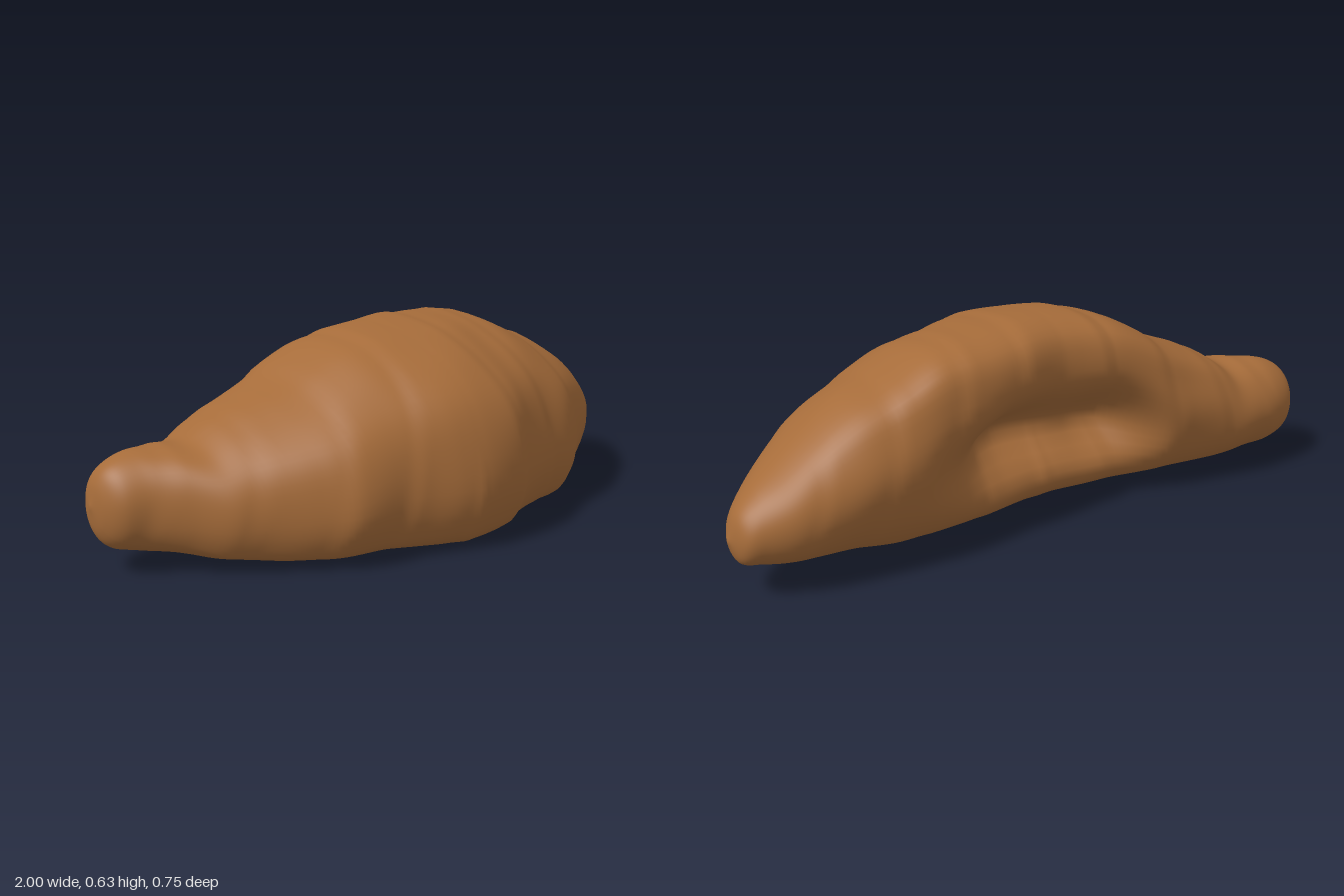
import * as THREE from 'three';

const { smoothstep, lerp } = THREE.MathUtils;

// Stations along the roll: x, bottom y, top y, back z, front z
const STATIONS = [
  [-1, .2, .2, -.22, -.22], [-.985, .12, .27, -.27, -.16], [-.95, .075, .315, -.31, -.11],
  [-.88, .055, .345, -.335, -.07], [-.8, .045, .355, -.345, 0], [-.72, .03, .36, -.355, .08],
  [-.64, .025, .41, -.355, .125], [-.52, .02, .455, -.35, .21], [-.42, .018, .495, -.352, .27],
  [-.28, .015, .575, -.34, .293], [-.2, .01, .6, -.335, .318], [-.1, .005, .615, -.33, .36],
  [0, 0, .622, -.335, .378], [.14, .003, .62, -.365, .357], [.25, .01, .608, -.38, .303],
  [.38, .012, .596, -.382, .258], [.5, .015, .543, -.382, .23], [.63, .04, .497, -.38, .15],
  [.74, .05, .43, -.365, .08], [.84, .065, .355, -.35, 0], [.92, .085, .298, -.315, -.085],
  [.975, .105, .245, -.28, -.15], [1, .17, .17, -.21, -.21],
];

// Normalised cross-section (0 back .. 1 front, 0 bottom .. 1 top)
const PROFILE = [
  [.88, .01], [.965, .13], [1, .3], [.97, .55], [.9, .71], [.77, .84], [.62, .93], [.48, .98],
  [.2, 1], [.07, .93], [.02, .76], [0, .58], [.03, .4], [.1, .2], [.23, .05], [.5, 0],
];

const RINGS = 170, SIDES = 56;

// Overlapping dough layers: a slow swell followed by a quick step down
function layerStep(x, angle) {
  const p = Math.abs(x + .04) / .21 + .25 * Math.sin(angle);
  const f = p - Math.floor(p);
  return f < .8 ? f / .8 : (1 - f) / .2;
}

function doughGeometry() {
  const heights = new THREE.CatmullRomCurve3(
    STATIONS.map(([x, y0, y1]) => new THREE.Vector3(x, y0, y1)), false, 'catmullrom', .5);
  const depths = new THREE.CatmullRomCurve3(
    STATIONS.map(([x, , , z0, z1]) => new THREE.Vector3(x, z0, z1)), false, 'catmullrom', .5);
  const section = new THREE.CatmullRomCurve3(
    PROFILE.map(([u, v]) => new THREE.Vector3(u, v, 0)), true).getPoints(SIDES);

  const positions = [], indices = [];
  for (let i = 0; i <= RINGS; i++) {
    const h = heights.getPoint(i / RINGS), d = depths.getPoint(i / RINGS), x = h.x;
    // The curled-in hollow fades out towards both arms
    const hollow = smoothstep(x, -.5, -.15) * (1 - smoothstep(x, .1, .5));

    for (let j = 0; j < SIDES; j++) {
      let du = section[j].x - .5, dv = section[j].y - .5;
      const angle = Math.atan2(dv, du);
      // Full in the middle, elliptical at the tips, rounding sooner at the back
      const round = du < 0 ? smoothstep(Math.abs(x), .35, .85) : smoothstep(Math.abs(x), .55, .97);
      du = lerp(du, .5 * Math.cos(angle), round);
      dv = lerp(dv, .5 * Math.sin(angle), round);
      const bumps = .006 * Math.sin(9 * x + 3 * angle) + .005 * Math.sin(17 * x - 5 * angle);
      const swell = .98 + .02 * layerStep(x, angle) + bumps;
      const u = .5 + du * swell;
      const v = .5 + dv * (dv < 0 ? 1 : swell);

      const y = lerp(h.y, h.z, v);
      const behind = 1 - smoothstep(u, .02, .6);
      const dent = (.2 + .025 * Math.sin(14 * x)) * Math.exp(-(((v - .42) / .2) ** 2));
      const z = lerp(d.y, d.z, u) + hollow * behind * dent;
      positions.push(x, y, z);
    }
  }
  for (let i = 0; i < RINGS; i++) {
    for (let j = 0; j < SIDES; j++) {
      const a = i * SIDES + j, c = i * SIDES + (j + 1) % SIDES;
      const b = a + SIDES, e = c + SIDES;
      if (i > 0) indices.push(a, b, c);
      if (i < RINGS - 1) indices.push(b, e, c);
    }
  }
  const geometry = new THREE.BufferGeometry();
  geometry.setAttribute('position', new THREE.Float32BufferAttribute(positions, 3));
  geometry.setIndex(indices);
  geometry.computeVertexNormals();
  // Smooth shading at the two closed tips
  for (let j = 0; j < SIDES; j++) {
    geometry.attributes.normal.setXYZ(j, -1, 0, 0);
    geometry.attributes.normal.setXYZ(RINGS * SIDES + j, 1, 0, 0);
  }
  return geometry;
}

export function createModel() {
  const crust = new THREE.MeshStandardMaterial({ color: 0xa66c3a });
  crust.name = 'baked crust';

  const dough = new THREE.Mesh(doughGeometry(), crust);
  dough.name = 'rolledPastry';

  const group = new THREE.Group();
  group.name = 'crescentRoll';
  group.add(dough);
  return group;
}
